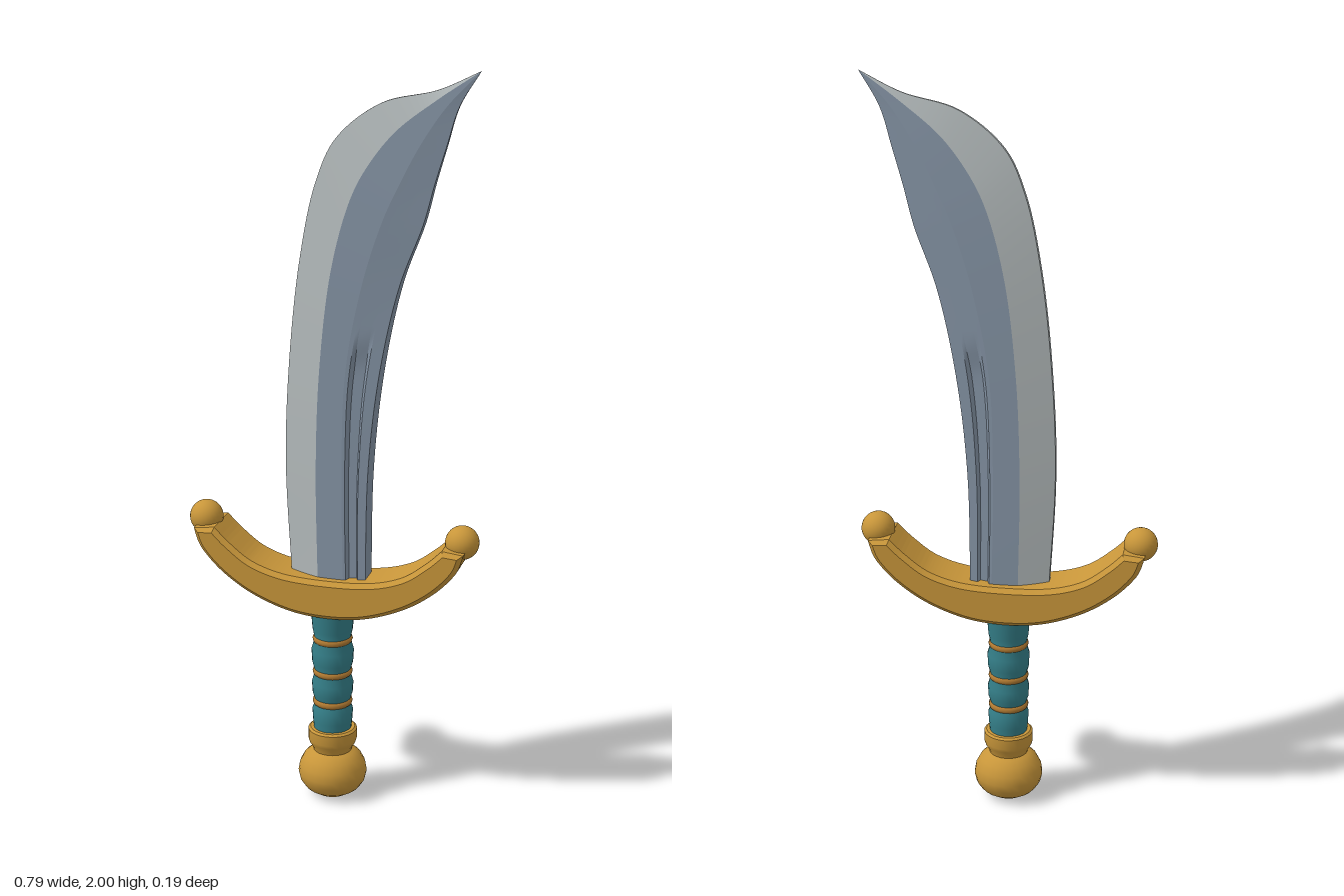
import * as THREE from 'three';
import { toCreasedNormals } from 'three/addons/utils/BufferGeometryUtils.js';

const material = (name, color) => {
  const m = new THREE.MeshStandardMaterial({ color });
  m.name = name;
  return m;
};

export function createModel() {
  const sword = new THREE.Group();
  sword.name = 'curvedSword';
  const gold = material('gold', 0xc8963a);
  const bronze = material('bronze', 0xb07a32);
  const teal = material('teal', 0x35808a);
  const steel = material('steel', 0x8594a5);
  const edgeSteel = material('edgeSteel', 0xb6bdbe);

  const add = (name, geometry, mat, parent = sword) => {
    const mesh = new THREE.Mesh(geometry, mat);
    mesh.name = name;
    parent.add(mesh);
    return mesh;
  };
  const lathe = (pts, segments = 24) => toCreasedNormals(
    new THREE.LatheGeometry(pts.map(([r, y]) => new THREE.Vector2(r, y)), segments), 0.6);

  // Blade: lengthwise ridge lines (x, y, half thickness), all meeting at the tip
  const tip = [0.378, 2, 0];
  const line = (pts) => {
    const curve = new THREE.CatmullRomCurve3([...pts, tip].map((p) => new THREE.Vector3(...p)));
    return (t) => curve.getPoint(t);
  };
  const edge = line([[-0.108, 0.6, 0.01], [-0.125, 0.95, 0.01], [-0.114, 1.23, 0.01], [-0.085, 1.5, 0.009],
    [-0.043, 1.7, 0.008], [0.01, 1.815, 0.006], [0.125, 1.908, 0.004], [0.27, 1.948, 0.002]]);
  const bevel = line([[-0.03, 0.6, 0.037], [-0.035, 0.95, 0.038], [-0.025, 1.22, 0.037], [0.005, 1.48, 0.035],
    [0.05, 1.655, 0.031], [0.09, 1.74, 0.027], [0.165, 1.84, 0.02], [0.27, 1.925, 0.01]]);
  const ridge = line([[0.04, 0.6, 0.039], [0.035, 0.95, 0.039], [0.045, 1.22, 0.038], [0.09, 1.46, 0.036],
    [0.14, 1.62, 0.032], [0.175, 1.7, 0.028], [0.23, 1.81, 0.02], [0.295, 1.91, 0.01]]);
  const spine = line([[0.098, 0.6, 0.03], [0.104, 0.95, 0.03], [0.133, 1.22, 0.028], [0.182, 1.45, 0.022],
    [0.24, 1.61, 0.016], [0.266, 1.71, 0.012], [0.295, 1.81, 0.008], [0.325, 1.91, 0.004]]);
  // Groove lines run between ridge and spine and fade out partway up
  const groove = (f, depth) => (t) => {
    const p = ridge(t).lerp(spine(t), f);
    p.z -= depth * (1 - THREE.MathUtils.smoothstep(t, 0.25, 0.3));
    return p;
  };
  const side = [edge, bevel, ridge, groove(0.12, 0), groove(0.22, 0.014),
    groove(0.55, 0.014), groove(0.65, 0), spine];
  const mirrored = side.map((f) => (t) => f(t).multiply(new THREE.Vector3(1, 1, -1))).reverse();
  const ring = [...side, ...mirrored];

  const ROWS = 64;
  const strip = (a, b) => {
    const pos = [], index = [];
    for (let i = 0; i <= ROWS; i++) {
      pos.push(...a(i / ROWS).toArray(), ...b(i / ROWS).toArray());
      if (i < ROWS) {
        const k = i * 2;
        index.push(k, k + 1, k + 3, k, k + 3, k + 2);
      }
    }
    const g = new THREE.BufferGeometry();
    g.setAttribute('position', new THREE.Float32BufferAttribute(pos, 3));
    g.setIndex(index);
    g.computeVertexNormals();
    return g;
  };
  const blade = new THREE.Group();
  blade.name = 'blade';
  sword.add(blade);
  ring.forEach((f, i) => {
    const sharp = i === 0 || i >= ring.length - 2;
    add(sharp ? 'cuttingEdge' : 'bladeFacet', strip(f, ring[(i + 1) % ring.length]),
      sharp ? edgeSteel : steel, blade);
  });

  // Crescent guard with chamfered rims
  const BEVEL = 0.012;
  const half = [[0.1, 0.557], [0.2, 0.593], [0.28, 0.645], [0.335, 0.703], [0.353, 0.745]];
  const inner = [[0.315, 0.748], [0.275, 0.71], [0.21, 0.664], [0.12, 0.637]];
  const v2 = ([x, y]) => new THREE.Vector2(x, y);
  const flip = (pts) => pts.map(([x, y]) => [-x, y]).reverse();
  const lower = [...flip(half), [0, 0.547], ...half].map(v2);
  const upper = [...inner, [0, 0.63], ...flip(inner)].map(v2);
  const outline = new THREE.Shape();
  outline.moveTo(lower[0].x, lower[0].y);
  outline.splineThru(lower.slice(1));
  outline.lineTo(upper[0].x, upper[0].y);
  outline.splineThru(upper.slice(1));
  outline.closePath();
  const guardGeo = new THREE.ExtrudeGeometry(outline, {
    depth: 0.116, bevelSize: BEVEL, bevelThickness: BEVEL, bevelSegments: 1, curveSegments: 24,
  });
  guardGeo.translate(0, 0, -0.058);
  add('guard', toCreasedNormals(guardGeo, 0.5), gold);
  for (const s of [-1, 1]) {
    add('guardBall', new THREE.SphereGeometry(0.045, 24, 16), gold).position.set(s * 0.351, 0.768, 0);
  }

  // Grip swelling between the binding rings
  add('grip', lathe([[0.05, 0.19], [0.053, 0.22], [0.055, 0.25], [0.046, 0.275], [0.054, 0.3], [0.056, 0.33],
    [0.047, 0.362], [0.055, 0.39], [0.057, 0.425], [0.048, 0.457], [0.054, 0.485], [0.06, 0.56]]), teal);
  for (const y of [0.275, 0.362, 0.457]) {
    const binding = add('gripRing', new THREE.TorusGeometry(0.043, 0.011, 10, 24), bronze);
    binding.rotation.x = Math.PI / 2;
    binding.position.y = y;
  }

  // Collar and round pommel with a flattened foot
  add('collar', lathe([[0.05, 0.12], [0.053, 0.138], [0.063, 0.155], [0.066, 0.165], [0.066, 0.193],
    [0.06, 0.198], [0, 0.198]]), gold);
  add('pommel', lathe([[0, 0], [0.045, 0.004], [0.07, 0.02], [0.076, 0.026], [0.088, 0.044], [0.093, 0.066],
    [0.089, 0.09], [0.077, 0.113], [0.06, 0.128], [0.04, 0.137]]), gold);

  return sword;
}
